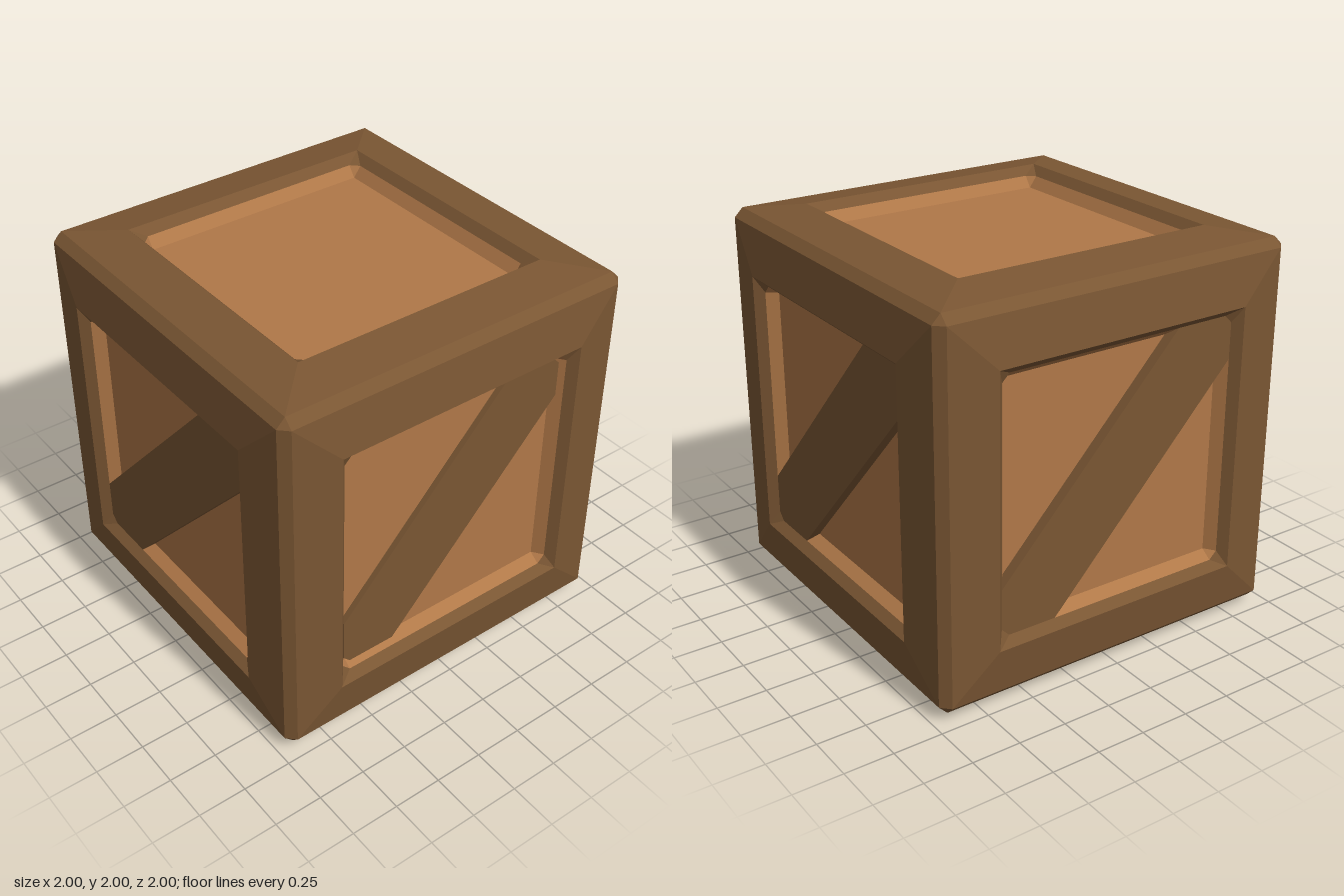
import * as THREE from 'three';

const wood = (color) => new THREE.MeshStandardMaterial({ color, flatShading: true });
const frameWood = wood(0x7a5633);
const panelWood = wood(0xb07848);

// Ring of 12 points facing +z: three per corner, (r, s), (m, m), (s, r).
function ring(r, d, s = r, m = r, dm = d) {
  const points = [];
  for (let k = 0; k < 4; k++) {
    for (const [x, y, z] of [[r, s, d], [m, m, dm], [s, r, d]]) {
      let [u, v] = [x, y];
      for (let i = 0; i < k; i++) [u, v] = [-v, u];
      points.push(new THREE.Vector3(u, v, z));
    }
  }
  return points;
}

// Joins successive rings, outermost first, skipping collapsed triangles.
function loft(rings) {
  const out = [];
  const tri = (a, b, c) => {
    if (new THREE.Triangle(a, b, c).getArea() > 1e-7) out.push(a, b, c);
  };
  for (let j = 0; j < rings.length - 1; j++) {
    const [a, b] = [rings[j], rings[j + 1]];
    for (let i = 0; i < 12; i++) {
      const n = (i + 1) % 12;
      tri(a[i], a[n], b[n]);
      tri(a[i], b[n], b[i]);
    }
  }
  const geometry = new THREE.BufferGeometry().setFromPoints(out);
  geometry.computeVertexNormals();
  return geometry;
}

// Diagonal plank cut to a square of half-size e; a and b offset its two long edges.
function plankGeometry(e, a, b, front) {
  const slope = 1.075, c = 0.035, back = 0.87;
  const shape = new THREE.Shape([
    [-e, -slope * e + a], [-e, -e + c], [-e + c, -e], [(-e + b) / slope, -e],
    [e, slope * e - b], [e, e - c], [e - c, e], [(e - a) / slope, e],
  ].map(([x, y]) => new THREE.Vector2(x, y)));
  const geometry = new THREE.ExtrudeGeometry(shape, { depth: front - back, bevelEnabled: false });
  return geometry.translate(0, 0, back);
}

function addMesh(parent, name, geometry, material) {
  const mesh = new THREE.Mesh(geometry, material);
  mesh.name = name;
  parent.add(mesh);
}

export function createModel() {
  const crate = new THREE.Group();
  crate.name = 'crate';

  // Rings from the bevelled outer edge, over the raised lip, down to the panel
  const edge = ring(0.9425, 0.9425, 0.92, 0.935, 0.935);
  const border = ring(0.92, 0.965);
  const lip = ring(0.685, 1);
  const recess = ring(0.645, 0.955, 0.605, 0.625);
  const floor = ring(0.605, 0.9);
  const centre = ring(0, 0.9);
  const frame = loft([edge, border, lip, recess]);
  const panel = loft([recess, floor, centre]);

  // The front plank sits a little deeper than the others
  const frontPlank = plankGeometry(0.622, 0.305, 0.266, 0.93);
  const sidePlank = plankGeometry(0.645, 0.294, 0.271, 0.955);

  const q = Math.PI / 2;
  const sides = [
    ['front', 0, 0, frontPlank], ['left', 0, q, sidePlank],
    ['back', 0, 2 * q, sidePlank], ['right', 0, -q, sidePlank],
    ['top', -q, 0, null], ['bottom', q, 0, null],
  ];
  for (const [name, rx, ry, plank] of sides) {
    const side = new THREE.Group();
    side.name = name + 'Side';
    addMesh(side, name + 'Frame', frame, frameWood);
    addMesh(side, name + 'Panel', panel, panelWood);
    if (plank) addMesh(side, name + 'Plank', plank, frameWood);
    side.rotation.set(rx, ry, 0);
    side.position.y = 1;
    crate.add(side);
  }
  return crate;
}
